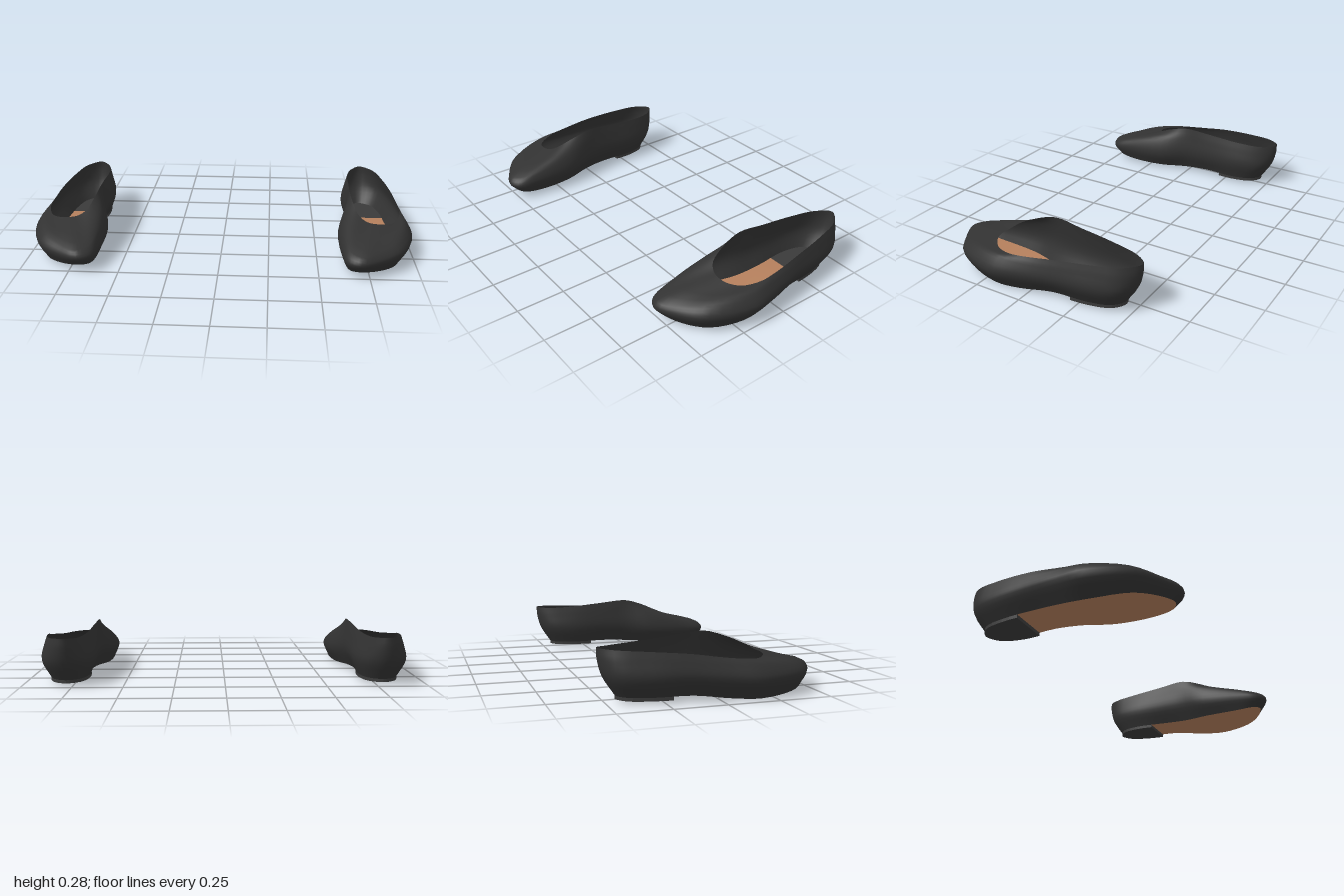
import * as THREE from 'three';
import { mergeVertices } from 'three/addons/utils/BufferGeometryUtils.js';

const leather = new THREE.MeshStandardMaterial({ name: 'black leather', color: 0x323232, side: THREE.DoubleSide });
const rubber = new THREE.MeshStandardMaterial({ name: 'dark heel', color: 0x3a3a3a, side: THREE.DoubleSide });
const tan = new THREE.MeshStandardMaterial({ name: 'tan sole', color: 0xb47f5c, side: THREE.DoubleSide });

// Loops of the left shoe, each [x, y, z] from the toe, along the outer side, round the heel and back.
const SOLE = [
  [.70, .035, .49], [.80, .026, .45], [.89, .015, .36], [.935, .003, .19],
  [.93, .012, .05], [.90, .03, -.12], [.885, .03, -.30], [.85, .03, -.41],
  [.785, .03, -.45], [.72, .03, -.41], [.69, .03, -.30], [.70, .03, -.12],
  [.69, .024, .02], [.65, .018, .17], [.64, .02, .36], [.655, .03, .46],
];
const WIDEST = [
  [.70, .085, .53], [.81, .09, .48], [.92, .10, .39], [.997, .10, .18],
  [.98, .11, .03], [.95, .12, -.14], [.925, .12, -.33], [.88, .12, -.46],
  [.785, .12, -.508], [.705, .12, -.46], [.665, .12, -.33], [.663, .12, -.14],
  [.655, .12, 0], [.613, .10, .16], [.616, .09, .38], [.636, .085, .495],
];
const UPPER = [
  [.71, .122, .505], [.80, .13, .45], [.90, .15, .35], [.965, .165, .17],
  [.96, .17, .03], [.94, .18, -.14], [.91, .19, -.33], [.87, .19, -.47],
  [.785, .20, -.53], [.715, .19, -.47], [.68, .20, -.33], [.672, .21, -.14],
  [.665, .22, 0], [.635, .19, .16], [.635, .15, .35], [.655, .128, .46],
];
const RIM = [
  [.80, .19, .24], [.85, .185, .23], [.90, .18, .185], [.935, .188, .10],
  [.937, .20, 0], [.925, .22, -.14], [.895, .235, -.33], [.855, .243, -.47],
  [.785, .247, -.532], [.725, .243, -.47], [.695, .25, -.33], [.685, .268, -.14],
  [.677, .28, .01], [.69, .25, .12], [.715, .215, .20], [.755, .195, .23],
];

const COLUMNS = 64;     // samples round a loop
const HEEL_START = 22;  // column where the heel begins

const loops = [SOLE, WIDEST, UPPER, RIM].map((pts) => {
  const curve = new THREE.CatmullRomCurve3(pts.map((p) => new THREE.Vector3(...p)), true);
  return Array.from({ length: COLUMNS + 1 }, (_, j) => curve.getPoint((j % COLUMNS) / COLUMNS));
});

// Surface from a point rule over nu by nv cells
function grid(nu, nv, point, flip) {
  const position = [], index = [];
  for (let u = 0; u <= nu; u++) for (let v = 0; v <= nv; v++) position.push(...point(u, v));
  for (let u = 0; u < nu; u++) for (let v = 0; v < nv; v++) {
    const a = u * (nv + 1) + v, b = a + nv + 1;
    if (flip) index.push(a, a + 1, b, b, a + 1, b + 1);
    else index.push(a, b, a + 1, b, b + 1, a + 1);
  }
  let g = new THREE.BufferGeometry();
  g.setAttribute('position', new THREE.Float32BufferAttribute(position, 3));
  g.setIndex(index);
  g = mergeVertices(g, 1e-5);
  g.computeVertexNormals();
  return g;
}

function createShoe(side, name) {
  const shoe = new THREE.Group();
  shoe.name = name;
  const mirrored = side < 0;
  const add = (partName, geometry, material) => {
    const mesh = new THREE.Mesh(geometry, material);
    mesh.name = partName;
    shoe.add(mesh);
  };

  // Upper: walls, vamp and heel counter, lofted from sole to rim
  const ribs = loops[0].map((_, j) => new THREE.CatmullRomCurve3(loops.map((l) => l[j])));
  add('upper', grid(COLUMNS, 12, (u, v) => {
    const p = ribs[u].getPoint(v / 12);
    return [p.x * side, p.y, p.z];
  }, mirrored), leather);

  // Strips spanning the sole from the outer to the inner edge
  const floor = (from, to, lift, down) => grid(to - from, 4, (u, v) => {
    const p = loops[0][from + u].clone().lerp(loops[0][COLUMNS - from - u], v / 4);
    return [p.x * side, p.y + lift, p.z];
  }, mirrored !== down);
  add('sole', floor(0, HEEL_START, 0, true), tan);
  add('insole', floor(0, HEEL_START, 0.012, false), tan);
  add('heelPad', floor(HEEL_START, COLUMNS / 2, 0.012, false), rubber);

  // Low heel block
  const outline = loops[0].slice(HEEL_START, COLUMNS - HEEL_START + 1)
    .map((p) => new THREE.Vector2(p.x * side, -p.z));
  const heel = new THREE.ExtrudeGeometry(new THREE.Shape(outline), { depth: 0.02, bevelEnabled: false });
  heel.rotateX(-Math.PI / 2).translate(0, 0.014, 0);
  add('heel', heel, rubber);
  return shoe;
}

export function createModel() {
  const model = new THREE.Group();
  model.name = 'pairOfShoes';
  model.add(createShoe(1, 'leftShoe'), createShoe(-1, 'rightShoe'));
  return model;
}
